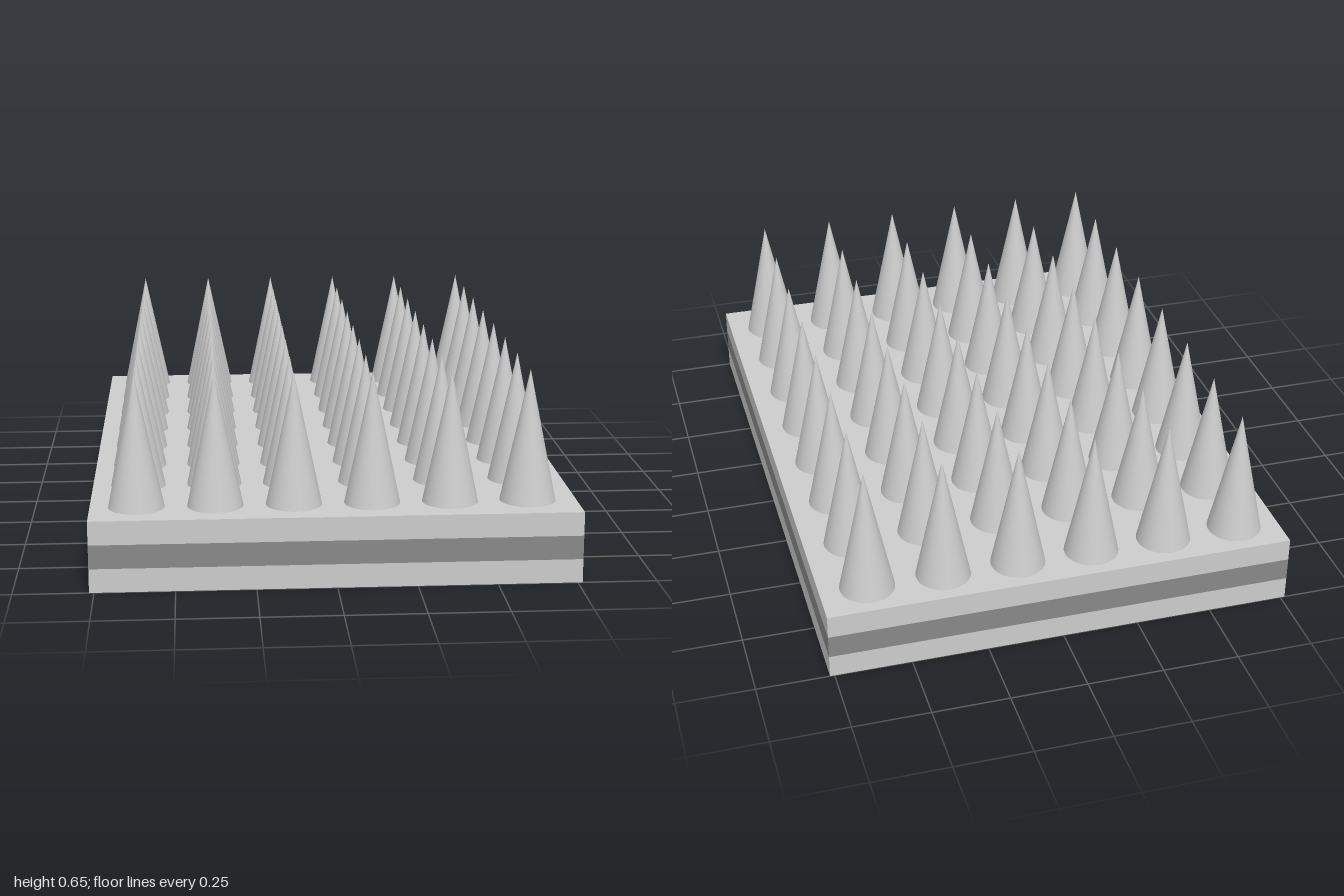
import * as THREE from 'three';

export function createModel() {
  const model = new THREE.Group();
  const grey = new THREE.MeshStandardMaterial({ color: 0xcccccc });
  const darkGrey = new THREE.MeshStandardMaterial({ color: 0x888888 });

  // Base board: three flush layers, the middle one darker
  const layer = 0.076;
  const slab = new THREE.BoxGeometry(1.53, layer, 2);
  [['bottomLayer', grey], ['middleLayer', darkGrey], ['topLayer', grey]].forEach(([name, material], i) => {
    const mesh = new THREE.Mesh(slab, material);
    mesh.name = name;
    mesh.position.y = layer * (i + 0.5);
    model.add(mesh);
  });

  // Spikes: a grid of 6 x 8 cones standing on the board
  const boardTop = layer * 3, height = 0.422, pitch = 0.246;
  const cone = new THREE.ConeGeometry(0.088, height, 48);
  const spikes = new THREE.Group();
  spikes.name = 'spikes';
  for (let col = 0; col < 6; col++) {
    for (let row = 0; row < 8; row++) {
      const spike = new THREE.Mesh(cone, grey);
      spike.name = 'spike';
      spike.position.set(-0.619 + col * pitch, boardTop + height / 2, -0.873 + row * pitch);
      spikes.add(spike);
    }
  }
  model.add(spikes);

  return model;
}
